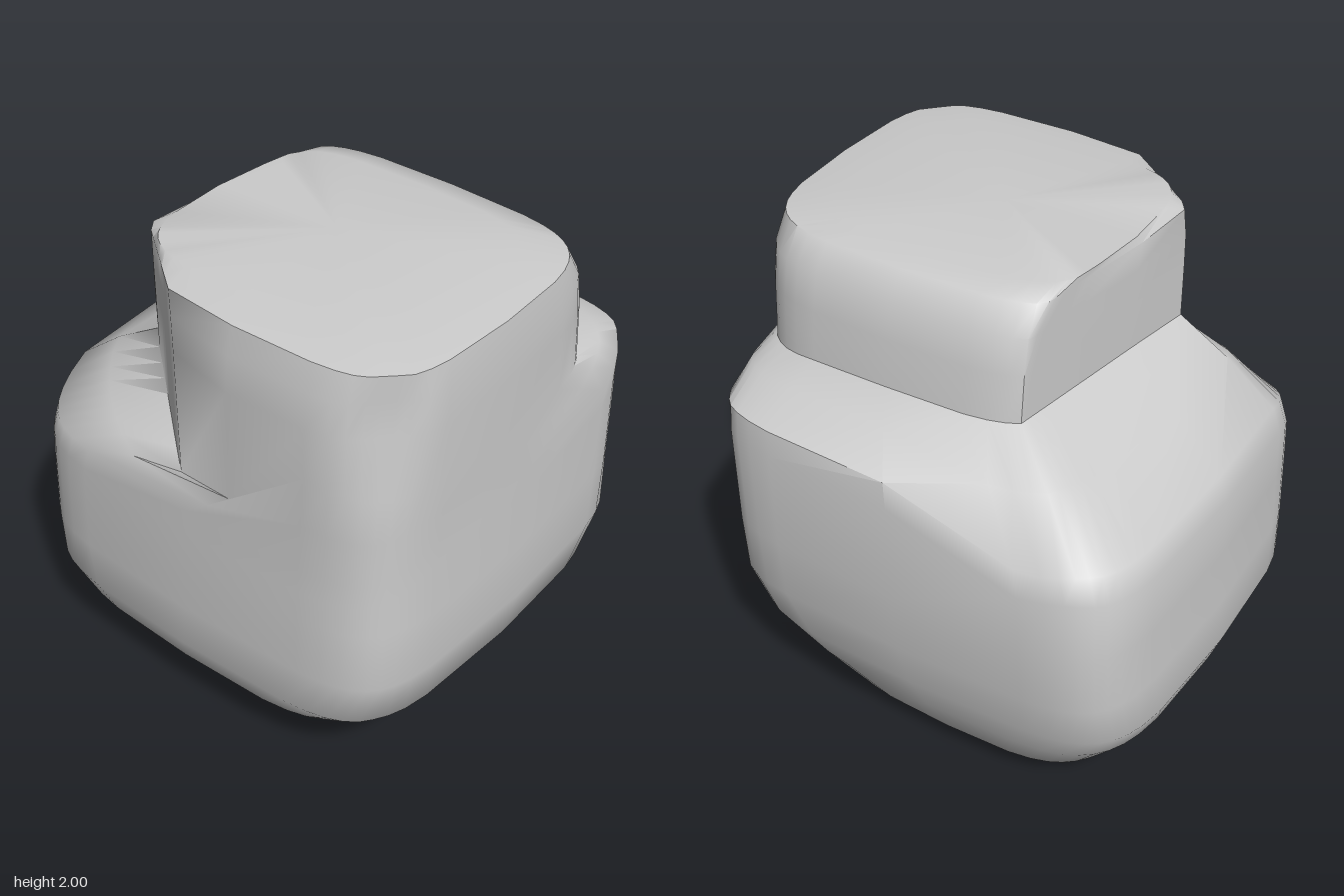
import * as THREE from 'three';
import { toCreasedNormals } from 'three/addons/utils/BufferGeometryUtils.js';

const SIDES = 40;
const ss = THREE.MathUtils.smoothstep;

// Rounded square with gently bowed sides, filling the given bounds at height y
function loop(x0, x1, z0, z1, y, power = 0.26) {
  const round = (v) => Math.sign(v) * Math.abs(v) ** power;
  return Array.from({ length: SIDES }, (_, i) => {
    const a = (i / SIDES) * Math.PI * 2;
    const u = round(Math.cos(a));
    const v = round(Math.sin(a));
    const x = (x0 + x1) / 2 + ((x1 - x0) / 2) * u * (1 - 0.05 * v * v);
    const z = (z0 + z1) / 2 + ((z1 - z0) / 2) * v * (1 - 0.06 * u * u);
    return new THREE.Vector3(x, y, z);
  });
}

// Push points that lie beyond a plane back onto it
function cut(points, nx, ny, nz, d) {
  const plane = new THREE.Plane(new THREE.Vector3(nx, ny, nz), -d).normalize();
  for (const p of points) {
    if (plane.distanceToPoint(p) > 0) plane.projectPoint(p.clone(), p);
  }
  return points;
}

// Set each point's height from its position
function drape(points, yAt) {
  for (const p of points) p.y = yAt(p.x, p.z);
  return points;
}

// Upper block: slanted back wall, sliced back and front corners on the -x side
function upper(x0, x1, z0, z1, y) {
  const points = loop(x0, x1, z0, z1, y, 0.36);
  cut(points, 0.16, 0, -0.987, 0.36);
  cut(points, -0.8, 0, -0.6, 0.656);
  return cut(points, -0.707, 0, 0.707, 1.13 - 0.08 * ss(y, 1.4, 1.75));
}

// Skin stacked loops, closing both ends with a fan
function skin(loops, bottom, top) {
  const points = [...loops.flat(), bottom, top];
  const last = (loops.length - 1) * SIDES;
  const index = [];
  for (let j = 0; j < SIDES; j++) {
    const k = (j + 1) % SIDES;
    for (let r = 0; r < last; r += SIDES) {
      index.push(r + j, r + SIDES + j, r + k, r + k, r + SIDES + j, r + SIDES + k);
    }
    index.push(points.length - 2, j, k, points.length - 1, last + k, last + j);
  }
  const geometry = new THREE.BufferGeometry().setFromPoints(points);
  geometry.setIndex(index);
  return toCreasedNormals(geometry, 0.85);
}

export function createModel() {
  // Shelf heights: outer rim is high on the +x side with a dent towards the
  // back, inner edge drops on the -x side
  const rimY = (x, z) => 1.19 + 0.17 * ss(x, 0.3, 0.8) * ss(z, -0.9, -0.4)
    - 0.13 * ss(-x, 0.4, 0.85)
    - 0.16 * ss(x, 0.5, 0.8) * Math.exp(-(((z + 0.48) / 0.2) ** 2));
  const innerY = (x, z) => 1.53 - 0.38 * ss(-x, 0.42, 0.88) * ss(-z, -0.5, -0.1) - 0.05 * ss(z, 0.4, 0.9);

  const rim = drape(loop(-0.855, 0.863, -0.9, 0.92, 0), (x, z) => rimY(x, z) - 0.06);
  const lip = drape(loop(-0.85, 0.845, -0.865, 0.92, 0), (x, z) => rimY(x, z) + 0.04);
  const inner = drape(upper(-0.84, 0.52, -0.44, 0.92, 1.5), innerY);
  const shelf = lip.map((p, i) => {
    const q = p.clone().lerp(inner[i], 0.5);
    q.y += 0.03 * ss(q.x, 0.3, 0.6) + 0.04 * ss(-q.x, 0.4, 0.6) * ss(-q.z, 0.1, 0.4);
    return q;
  });

  const loops = [
    // Tapered underside
    loop(-0.42, 0.54, -0.5, 0.22, 0.045, 0.48),
    loop(-0.6, 0.69, -0.74, 0.54, 0.12, 0.42),
    loop(-0.81, 0.77, -0.87, 0.74, 0.29, 0.36),
    // Broad body
    loop(-0.86, 0.81, -0.92, 0.88, 0.42, 0.3),
    loop(-0.865, 0.85, -0.91, 0.92, 0.62),
    loop(-0.86, 0.865, -0.905, 0.92, 0.88),
    // Shelf around the back and the +x side
    rim, lip, shelf, inner,
    // Upper block
    upper(-0.835, 0.5, -0.44, 0.92, 1.72),
    upper(-0.82, 0.47, -0.44, 0.92, 1.86),
    upper(-0.79, 0.4, -0.43, 0.91, 1.965),
    upper(-0.66, 0.29, -0.38, 0.74, 1.99),
  ];

  // Underside slices, then soft front corners
  for (const l of loops) {
    cut(l, -0.52, -0.67, -0.52, 0.53);
    cut(l, -0.33, -0.77, 0.55, 0.34);
    cut(l, 0.667, -0.422, 0.613, 0.74);
    cut(l, -0.837, 0, 0.547, 1.075);
    cut(l, 0.6, 0, 0.8, 1.08);
  }

  const rock = new THREE.Mesh(
    skin(loops, new THREE.Vector3(-0.24, 0, -0.2), new THREE.Vector3(-0.15, 2, 0.15)),
    new THREE.MeshStandardMaterial({ color: 0xcccccc }),
  );
  rock.name = 'boulder';
  const group = new THREE.Group();
  group.name = 'rock';
  group.add(rock);
  return group;
}
